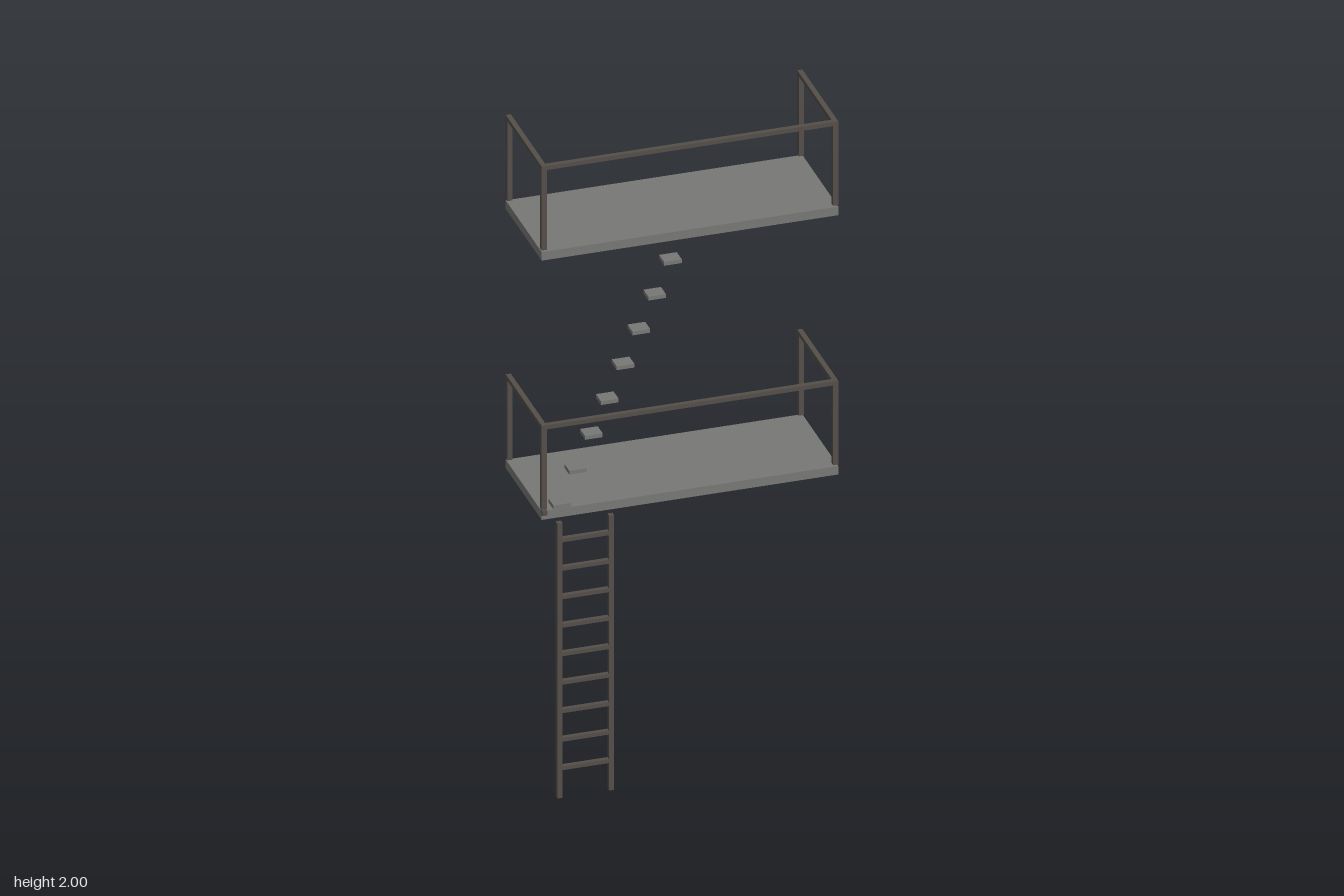
import * as THREE from 'three';

const deckMat = new THREE.MeshStandardMaterial({ name: 'deck grey', color: 0x777775 });
const railMat = new THREE.MeshStandardMaterial({ name: 'dark iron', color: 0x544e48 });

// Box given by its minimum and maximum corners
function box(parent, name, mat, min, max) {
  const size = max.map((v, i) => v - min[i]);
  const mesh = new THREE.Mesh(new THREE.BoxGeometry(...size), mat);
  mesh.position.set(...max.map((v, i) => (v + min[i]) / 2));
  mesh.name = name;
  parent.add(mesh);
}

const X = 0.437, BACK = -0.174, FRONT = 0.151, BAR = 0.015;

// Deck with corner posts and a handrail on the front and both ends
function balcony(name) {
  const g = new THREE.Group();
  g.name = name;
  box(g, 'deck', deckMat, [-X, 0, BACK], [X, 0.027, FRONT]);
  for (const s of [-1, 1]) {
    const x0 = s < 0 ? -X : X - BAR;
    for (const z0 of [BACK, FRONT - BAR])
      box(g, 'post', railMat, [x0, 0.032, z0], [x0 + BAR, 0.285, z0 + BAR]);
    box(g, 'sideRail', railMat, [x0, 0.285, BACK], [x0 + BAR, 0.298, FRONT]);
  }
  box(g, 'frontRail', railMat, [-X + BAR, 0.285, FRONT - BAR], [X - BAR, 0.298, FRONT]);
  return g;
}

export function createModel() {
  const model = new THREE.Group();
  model.name = 'fireEscape';

  for (const [name, y] of [['lowerBalcony', 0.879], ['upperBalcony', 1.702]]) {
    const b = balcony(name);
    b.position.y = y;
    model.add(b);
  }

  // Floating stair treads between the balconies
  const stairs = new THREE.Group();
  stairs.name = 'stairs';
  for (let i = 0; i < 8; i++) {
    const x = -0.376 + i * 0.0466, y = 0.912 + i * 0.1028;
    box(stairs, 'tread', deckMat, [x - 0.026, y - 0.006, 0.105], [x + 0.026, y + 0.006, 0.15]);
  }
  // Small bracket at the foot of the stairs
  box(stairs, 'footBracket', railMat, [-X, 0.894, 0.141], [-X + BAR, 0.909, 0.157]);
  model.add(stairs);

  // Ladder to the ground
  const ladder = new THREE.Group();
  ladder.name = 'ladder';
  for (const x of [-0.398, -0.246])
    box(ladder, 'ladderRail', railMat, [x, 0, 0.158], [x + BAR, 0.872, 0.174]);
  for (let i = 0; i < 9; i++) {
    const y = 0.093 + i * 0.0904;
    box(ladder, 'rung', railMat, [-0.383, y - 0.006, 0.159], [-0.246, y + 0.006, 0.173]);
  }
  model.add(ladder);

  return model;
}
